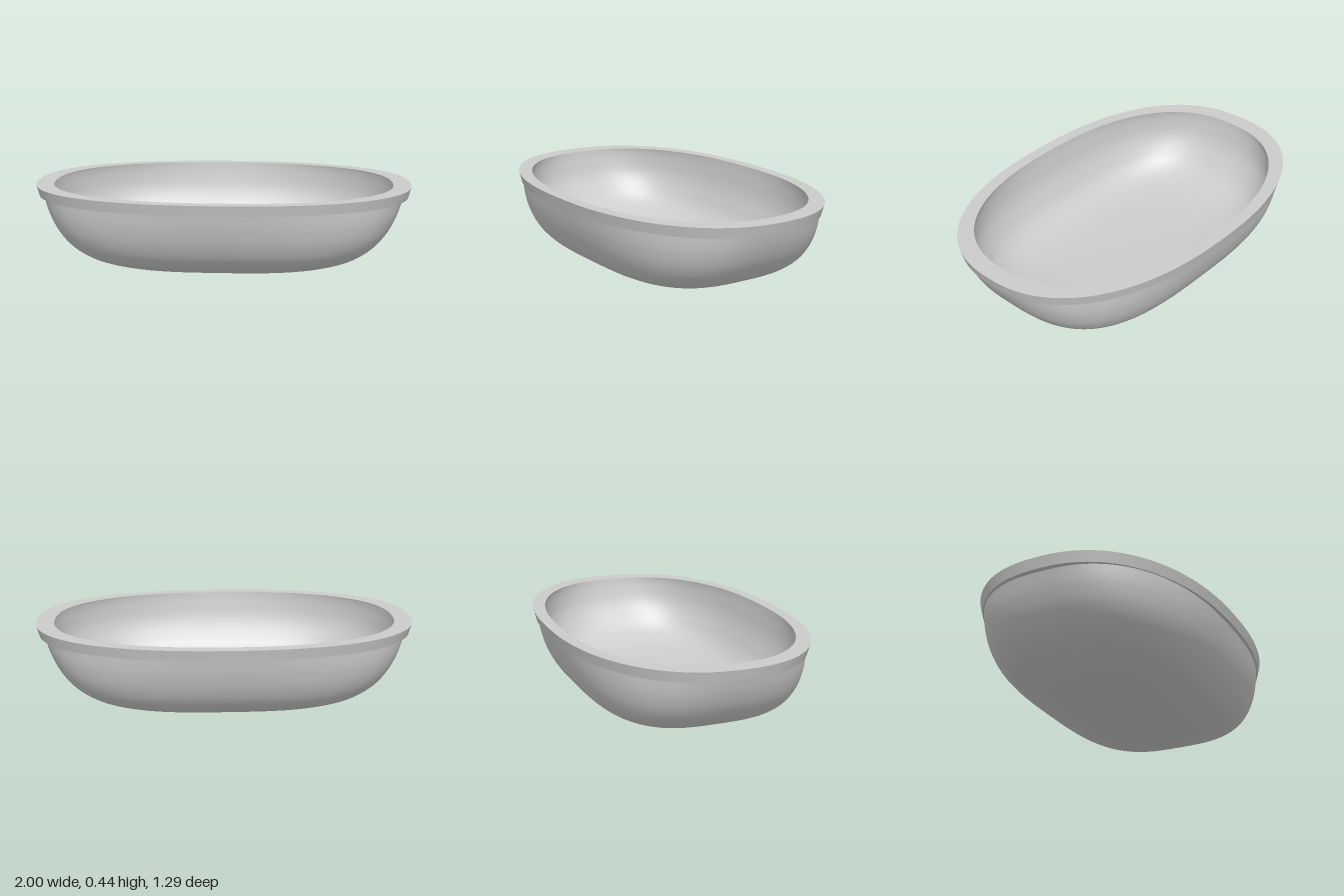
import * as THREE from 'three';

const SEGMENTS = 128;
const HEIGHT = 0.445;

// The oval is rounder at the rim and squarer towards the base.
function squareness(y) {
  const depth = Math.min(1, (HEIGHT - y) / (HEIGHT - 0.08));
  return 2.32 + 0.75 * Math.pow(depth, 0.8);
}

// Sweeps a profile of [x radius, z radius, y, exponent] points around a rounded oval.
function ovalSweep(name, profile, material) {
  const positions = [];
  const index = [];
  for (const [rx, rz, y, exponent] of profile) {
    const power = (v) => Math.sign(v) * Math.pow(Math.abs(v), 2 / exponent);
    for (let j = 0; j < SEGMENTS; j++) {
      const t = (j / SEGMENTS) * Math.PI * 2;
      positions.push(rx * power(Math.cos(t)), y, rz * power(Math.sin(t)));
    }
  }
  for (let i = 0; i < profile.length - 1; i++) {
    for (let j = 0; j < SEGMENTS; j++) {
      const k = (j + 1) % SEGMENTS;
      const a = i * SEGMENTS + j, b = a + SEGMENTS;
      const c = i * SEGMENTS + k, d = c + SEGMENTS;
      index.push(a, b, c, b, d, c);
    }
  }
  const geometry = new THREE.BufferGeometry();
  geometry.setAttribute('position', new THREE.Float32BufferAttribute(positions, 3));
  geometry.setIndex(index);
  geometry.computeVertexNormals();
  const mesh = new THREE.Mesh(geometry, material);
  mesh.name = name;
  return mesh;
}

// Smooth curve through [x radius, y] points, with z radius in proportion.
function smoothProfile(points, zRatio) {
  const curve = new THREE.SplineCurve(points.map(([r, y]) => new THREE.Vector2(r, y)));
  return curve.getPoints(48).map((p) => [p.x, p.x * zRatio, p.y, squareness(p.y)]);
}

export function createModel() {
  const model = new THREE.Group();
  model.name = 'ovalBasin';
  const material = new THREE.MeshStandardMaterial({ color: 0xcccccc, side: THREE.DoubleSide });

  // Outer bowl, from the centre of the base up to the rim
  const outer = [[0, 0], [0.3, 0.005], [0.52, 0.025], [0.69, 0.068], [0.8, 0.13],
    [0.875, 0.21], [0.925, 0.3], [0.957, 0.39]];
  model.add(ovalSweep('outerBowl', smoothProfile(outer, 0.641), material));

  // Inner bowl, from the opening down to the centre of the floor
  const inner = [[0.905, HEIGHT], [0.895, 0.39], [0.868, 0.3], [0.82, 0.22], [0.75, 0.145],
    [0.64, 0.09], [0.48, 0.062], [0.28, 0.052], [0, 0.05]];
  model.add(ovalSweep('innerBowl', smoothProfile(inner, 0.644), material));

  // Rim with sharp edges: underside, slightly flared side, flat top
  const rim = [[0.957, 0.613, 0.39, squareness(0.39)], [0.985, 0.632, 0.39, 2.32],
    [1, 0.645, HEIGHT, 2.32], [0.905, 0.583, HEIGHT, 2.32]];
  ['rimUnderside', 'rimSide', 'rimTop'].forEach((name, i) => {
    model.add(ovalSweep(name, [rim[i], rim[i + 1]], material));
  });

  return model;
}
